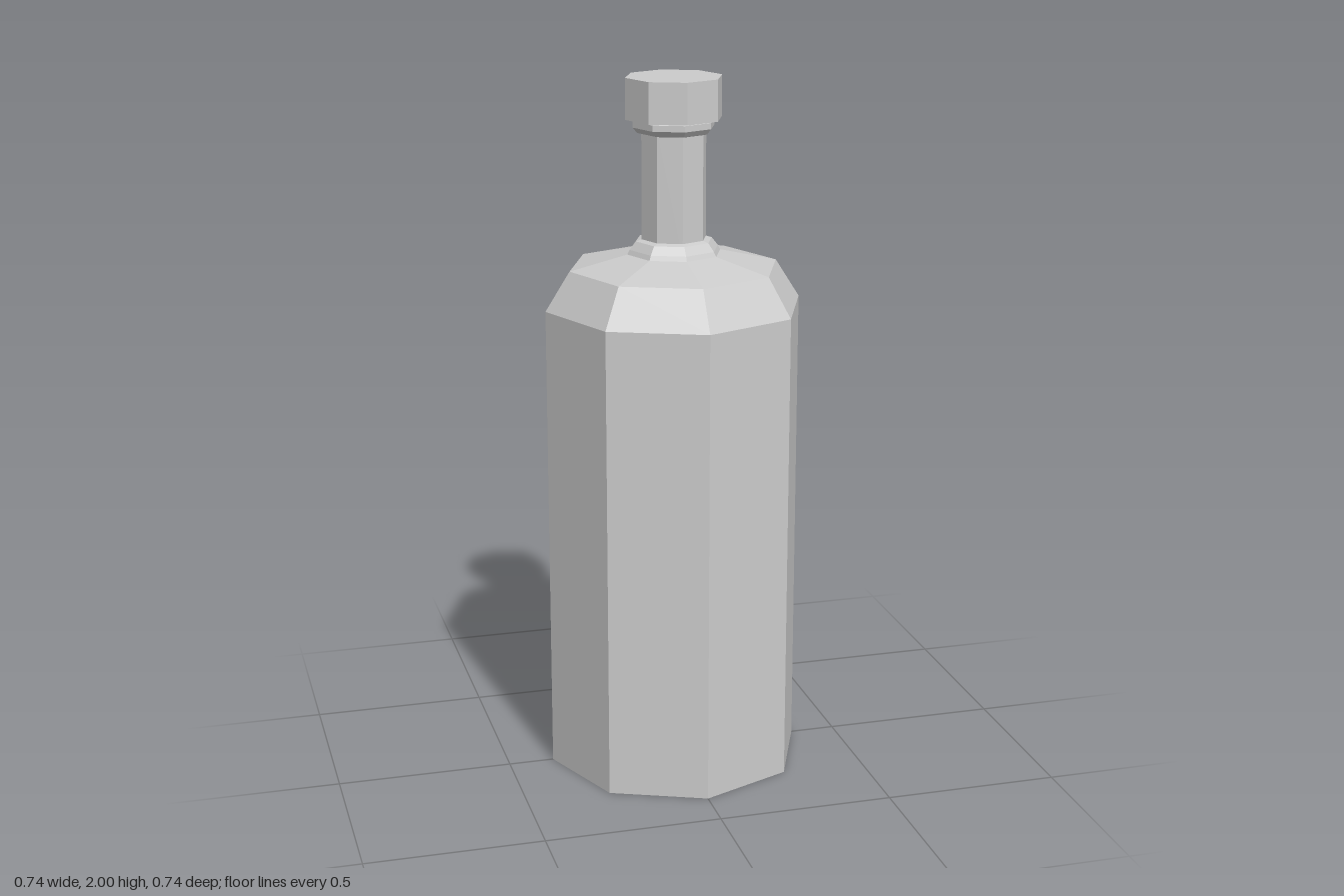
import * as THREE from 'three';

const SIDES = 8;

// Faceted solid of revolution from [radius, y] pairs, listed bottom to top
function turned(name, profile, material) {
  const points = profile.map(([r, y]) => new THREE.Vector2(r, y));
  const mesh = new THREE.Mesh(new THREE.LatheGeometry(points, SIDES), material);
  mesh.name = name;
  return mesh;
}

export function createModel() {
  const material = new THREE.MeshStandardMaterial({ color: 0xcccccc, flatShading: true });
  const bottle = new THREE.Group();
  bottle.name = 'bottle';

  // Body with a recessed base and a two-step shoulder
  bottle.add(turned('body', [
    [0, 0.06], [0.225, 0.06], [0.37, 0], [0.37, 1.36], [0.3, 1.47], [0.13, 1.51], [0, 1.51],
  ], material));

  // Bevelled collar at the foot of the neck
  bottle.add(turned('neckCollar', [
    [0.137, 1.505], [0.128, 1.522], [0.11, 1.545], [0.093, 1.55],
  ], material));

  // Straight neck
  bottle.add(turned('neck', [[0.093, 1.51], [0.093, 1.87]], material));

  // Lip just under the stopper
  bottle.add(turned('lip', [
    [0.093, 1.845], [0.105, 1.848], [0.117, 1.863], [0.117, 1.88], [0.105, 1.885],
  ], material));

  // Stopper cap
  bottle.add(turned('cap', [[0, 1.885], [0.138, 1.885], [0.138, 2], [0, 2]], material));

  return bottle;
}
